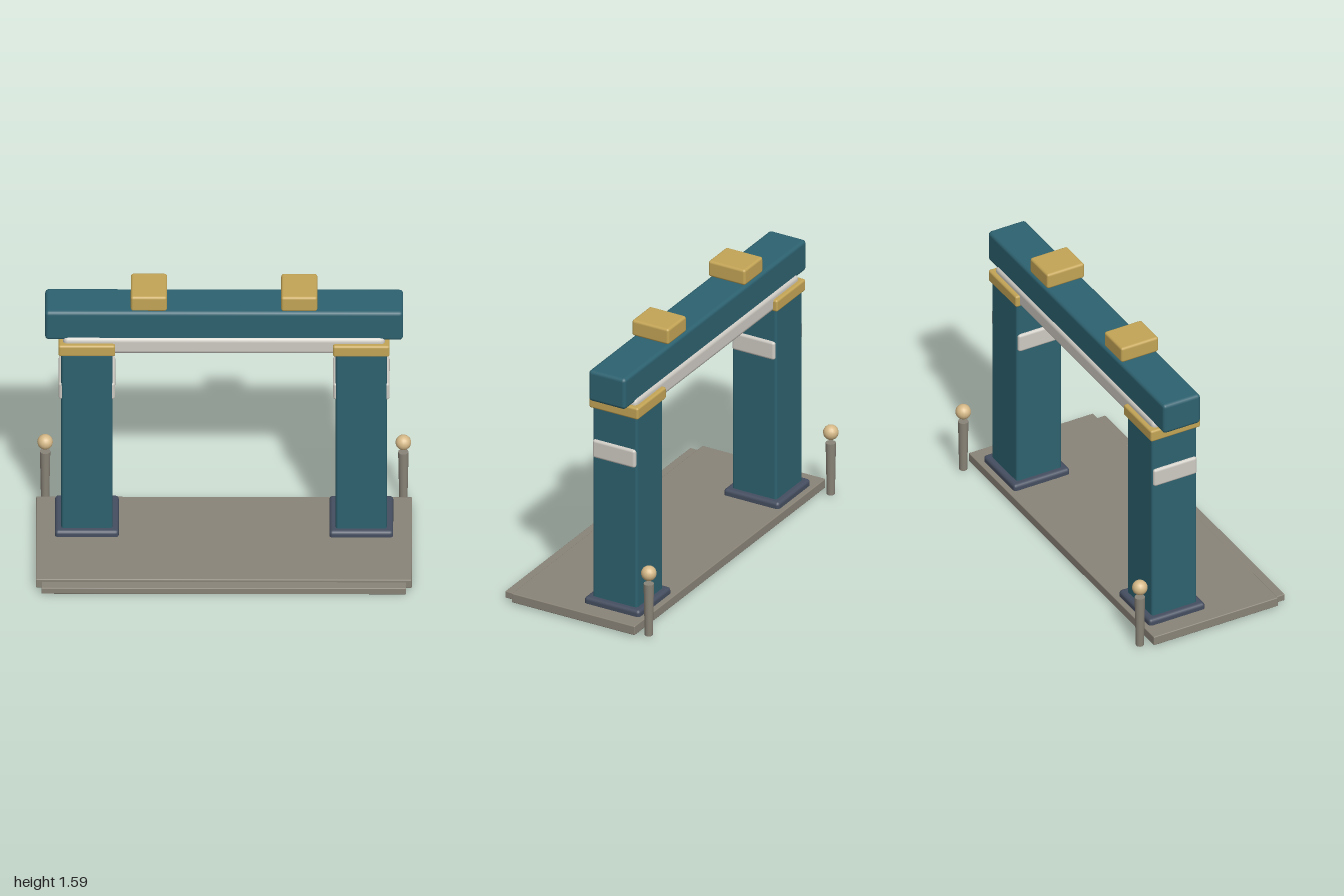
import * as THREE from 'three';
import { RoundedBoxGeometry } from 'three/addons/geometries/RoundedBoxGeometry.js';

const material = (color) => new THREE.MeshStandardMaterial({ color });

export function createModel() {
  const model = new THREE.Group();
  const teal = material(0x2d6270);
  const gold = material(0xc4a556);
  const stone = material(0x8a8478);
  const slate = material(0x454e60);
  const ivory = material(0xcfcbc4);
  const brass = material(0xd6b988);
  const gateZ = -0.158;

  const add = (parent, name, geometry, mat, x, y, z) => {
    const mesh = new THREE.Mesh(geometry, mat);
    mesh.name = name;
    mesh.position.set(x, y, z);
    parent.add(mesh);
    return mesh;
  };

  // Box with softened edges, given by its bottom and top heights
  const block = (parent, name, mat, x, y0, y1, z, w, d, bevel) =>
    add(parent, name, new RoundedBoxGeometry(w, y1 - y0, d, 2, bevel), mat, x, (y0 + y1) / 2, z);

  // Platform, front step and the thin plate under the platform
  block(model, 'platform', stone, 0, 0.008, 0.062, 0.02, 2, 0.76, 0.005);
  block(model, 'frontStep', stone, 0, 0.008, 0.047, 0.42, 1.94, 0.075, 0.004);
  const plate = add(model, 'undersidePlate', new THREE.BoxGeometry(0.84, 0.008, 0.16), gold, 0, 0.007, -0.14);
  plate.rotation.x = -0.03;

  for (const side of [-1, 1]) {
    const label = side > 0 ? 'left' : 'right';
    const x = side * 0.73;

    // Pillar with its foot, capital and side bands
    const pillar = new THREE.Group();
    pillar.name = label + 'Pillar';
    model.add(pillar);
    block(pillar, 'pillarFoot', slate, x, 0.045, 0.098, gateZ, 0.34, 0.342, 0.018);
    block(pillar, 'pillarShaft', teal, x, 0.07, 1.235, gateZ, 0.272, 0.275, 0.014);
    block(pillar, 'pillarCapital', gold, x, 1.227, 1.297, gateZ, 0.302, 0.303, 0.012);
    for (const face of [-1, 1]) {
      block(pillar, 'pillarBand', ivory, x + face * 0.135, 0.932, 1.04, gateZ, 0.032, 0.264, 0.015);
    }

    // Ornamental block on the top beam
    block(model, label + 'RoofBlock', gold, side * 0.4, 1.497, 1.59, gateZ, 0.193, 0.228, 0.014);

    // Rear post with a ball finial
    const post = new THREE.Group();
    post.name = label + 'Post';
    post.position.set(side * 0.953, 0, -0.42);
    model.add(post);
    add(post, 'postShaft', new THREE.CylinderGeometry(0.028, 0.022, 0.307, 12), stone, 0, 0.1615, 0);
    add(post, 'postBall', new THREE.SphereGeometry(0.042, 16, 12), brass, 0, 0.376, 0);
  }

  // Pale lintel and the overhanging top beam
  block(model, 'lintel', ivory, 0, 1.225, 1.33, gateZ, 1.715, 0.254, 0.026);
  block(model, 'topBeam', teal, 0, 1.308, 1.491, gateZ, 1.905, 0.228, 0.02);

  return model;
}
